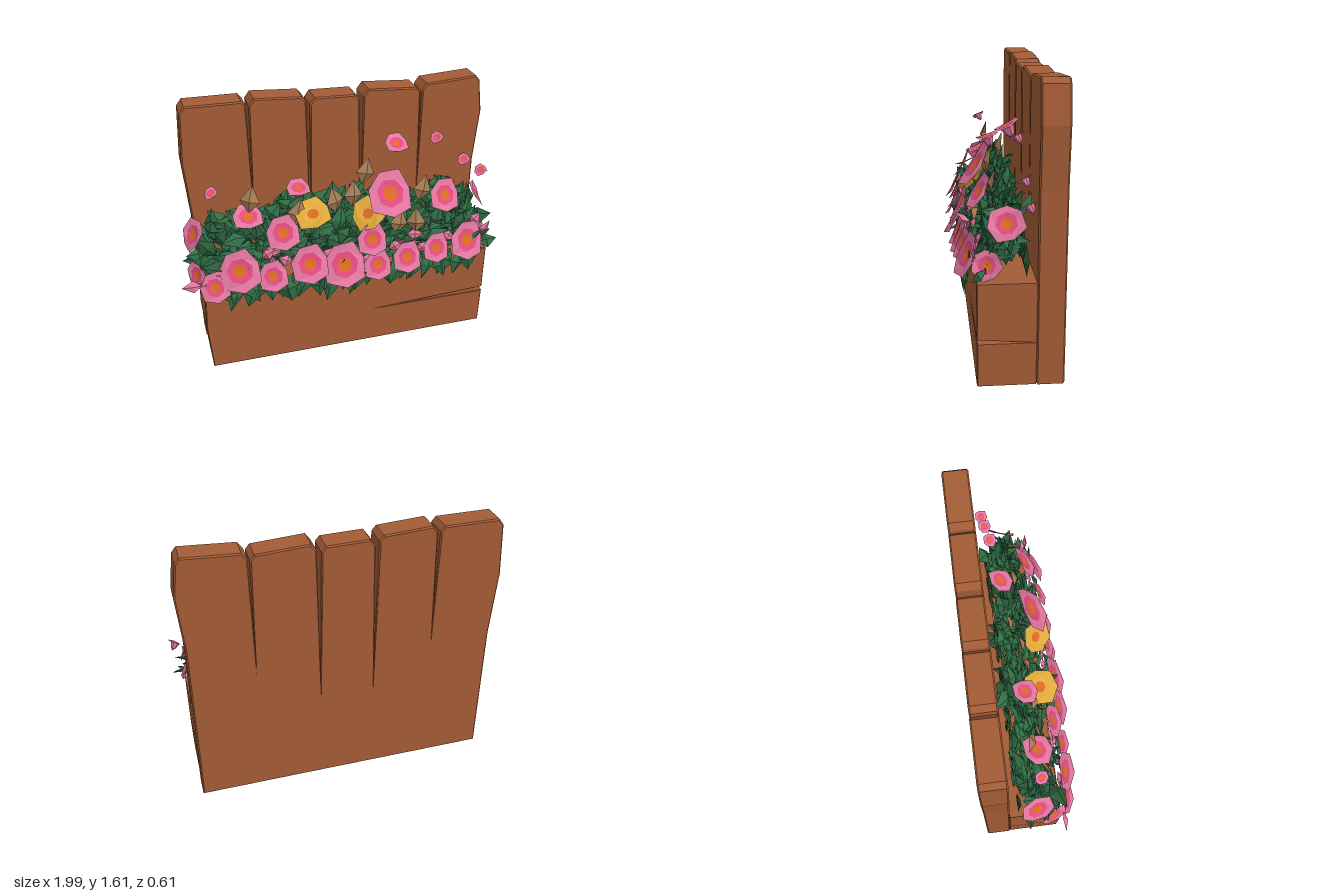
import * as THREE from 'three';
import { mergeGeometries } from 'three/addons/utils/BufferGeometryUtils.js';

const V = (x, y, z) => new THREE.Vector3(x, y, z);

const mat = (name, color, side = THREE.DoubleSide) => {
  const m = new THREE.MeshStandardMaterial({ color, side, flatShading: true });
  m.name = name;
  return m;
};

// Small seeded generator for the foliage scatter
function seeded(seed) {
  return () => {
    seed = (seed * 16807) % 2147483647;
    return seed / 2147483647;
  };
}

// Flat outline in x/y, extruded from z0 to z1 with small chamfers
function slab(points, z0, z1, bevel) {
  const shape = new THREE.Shape(points.map(([x, y]) => new THREE.Vector2(x, y)));
  const geo = new THREE.ExtrudeGeometry(shape, {
    depth: z1 - z0 - 2 * bevel, bevelEnabled: true, bevelSegments: 1,
    bevelSize: bevel, bevelThickness: bevel, bevelOffset: -bevel,
  });
  return geo.translate(0, 0, z0 + bevel);
}

// Outline of the fence: planks from right to left (left, right, top left, top right),
// with a tapering gap after each
function fenceOutline() {
  const planks = [[0.55, 0.92, 1.59, 1.608], [0.185, 0.54, 1.592, 1.572], [-0.14, 0.16, 1.575, 1.568],
    [-0.495, -0.16, 1.606, 1.588], [-0.885, -0.51, 1.6, 1.597]];
  const gapFoot = [0.83, 0.6, 0.57, 0.85];
  const points = [[-0.865, 0.01], [0.92, 0], [0.92, 1.05], [0.947, 1.38]];
  planks.forEach(([left, right, topLeft, topRight], i) => {
    points.push([right, topRight - 0.03], [right - 0.025, topRight], [left + 0.03, topLeft], [left, topLeft - 0.04]);
    if (i < 4) points.push([(left + planks[i + 1][1]) / 2, gapFoot[i]]);
  });
  points.push([-0.902, 1.25], [-0.872, 0.85]);
  return points;
}

// Folded pointed leaf growing along +y from the origin
function leaf(length, width, fold) {
  const b = [0, 0, 0], t = [0, length, -fold * 0.6], m = [0, length * 0.45, fold];
  const l = [-width / 2, length * 0.42, 0], r = [width / 2, length * 0.42, 0];
  const geo = new THREE.BufferGeometry();
  geo.setAttribute('position', new THREE.Float32BufferAttribute(
    [b, m, l, l, m, t, b, r, m, m, r, t].flat(), 3));
  geo.computeVertexNormals();
  return geo;
}

// Moves a geometry to pos with its y axis along dir and its z axis near normal
function orient(geo, pos, dir, normal) {
  const y = dir.clone().normalize();
  const x = new THREE.Vector3().crossVectors(y, normal).normalize();
  const z = new THREE.Vector3().crossVectors(x, y);
  return geo.applyMatrix4(new THREE.Matrix4().makeBasis(x, y, z).setPosition(pos));
}

// Seven-sided ring of a flower, with an uneven outer rim
function flowerRing(profile, uneven = 0) {
  const geo = new THREE.LatheGeometry(profile.map(([r, y]) => new THREE.Vector2(r, y)), 7);
  const p = geo.attributes.position;
  for (let i = 0; i < p.count; i++) {
    if (Math.hypot(p.getX(i), p.getZ(i)) < 0.9) continue;
    const side = Math.floor(i / profile.length) % 7;
    const k = 1 + uneven * Math.sin(side * 2.4);
    p.setXYZ(i, p.getX(i) * k, p.getY(i) + uneven * Math.cos(side * 1.7), p.getZ(i) * k);
  }
  geo.computeVertexNormals();
  return geo;
}

export function createModel() {
  const root = new THREE.Group();
  root.name = 'flowerPlanter';
  const wood = mat('brown wood', 0xa35c36, THREE.FrontSide);
  const green = mat('leaf green', 0x2f6e45);
  const darkGreen = mat('dark leaf green', 0x285a3a);
  const tan = mat('dry leaf tan', 0xa57c55);
  const pink = mat('petal pink', 0xe0769f);
  const hotPink = mat('inner petal pink', 0xe04a80);
  const orange = mat('flower centre orange', 0xdb6a22);
  const yellow = mat('petal yellow', 0xe0a83c);
  const add = (parent, name, geo, material) => {
    const mesh = new THREE.Mesh(geo, material);
    mesh.name = name;
    parent.add(mesh);
  };

  // Back fence of five planks
  add(root, 'backPlanks', slab(fenceOutline(), -0.287, -0.137, 0.008), wood);

  // Planter trough with a crack at the right end that closes towards the back
  const box = slab([
    [-0.86, 0.005], [0.915, 0], [0.92, 0.24], [0.17, 0.24], [0.92, 0.265], [0.92, 0.57],
    [-0.87, 0.575], [-0.88, 0.3],
  ], -0.14, 0.175, 0.005);
  const bp = box.attributes.position;
  for (let i = 0; i < bp.count; i++) {
    if (bp.getY(i) > 0.25 && bp.getY(i) < 0.29 && bp.getZ(i) < 0) bp.setY(i, 0.242);
  }
  box.computeVertexNormals();
  add(root, 'planterBox', box, wood);

  const rand = seeded(4711);
  const range = (a, b) => a + (b - a) * rand();
  const lists = { green: [], dark: [], tan: [], pink: [] };

  // Leafy mass, sloping from the front lip up to the fence, lower at the ends
  for (let i = 0; i < 270; i++) {
    const x = range(-0.84, 0.86), t = rand();
    const y = 0.58 + 0.36 * t * (1 - 0.45 * Math.pow(Math.abs(x), 4));
    const z = 0.18 - 0.19 * t - rand() * range(0, 0.26 - 0.17 * t);
    const dir = V(x * 0.4 + range(-0.9, 0.9), range(0, 0.9), range(-0.2, 0.35));
    const normal = V(range(-0.5, 0.5) + x * 0.4, range(0.2, 1.3), 1);
    const geo = leaf(range(0.12, 0.18), range(0.08, 0.12), 0.022);
    const list = rand() < 0.65 ? lists.green : lists.dark;
    list.push(orient(geo, V(x, y, Math.max(z, -0.07)), dir, normal));
  }
  // Leaves lying over the soil
  for (let i = 0; i < 110; i++) {
    const a = range(0, Math.PI * 2);
    const geo = leaf(range(0.13, 0.18), range(0.09, 0.12), 0.02);
    const pos = V(-0.83 + i * 0.0152, range(0.6, 0.75), range(-0.04, 0.12));
    lists.dark.push(orient(geo, pos, V(Math.cos(a), 0.2, Math.sin(a) * 0.4), V(range(-0.3, 0.3), 1, 0.3)));
  }
  // Dark leaves standing along the fence
  for (let i = 0; i < 60; i++) {
    const geo = leaf(range(0.14, 0.2), range(0.08, 0.11), 0.015);
    const pos = V(range(-0.83, 0.85), range(0.56, 0.82), range(-0.1, -0.07));
    lists.dark.push(orient(geo, pos, V(range(-0.5, 0.5), 1, 0.05), V(range(-0.3, 0.3), 0.2, 1)));
  }
  // Leaves hanging over the front lip
  for (let i = 0; i < 34; i++) {
    const geo = leaf(range(0.14, 0.19), range(0.09, 0.12), 0.022);
    const pos = V(-0.82 + i * 0.048, range(0.58, 0.65), range(0.18, 0.21));
    lists.green.push(orient(geo, pos, V(range(-0.7, 0.7), -1, 0.25), V(range(-0.4, 0.4), 0.3, 1)));
  }
  // Dry leaves, nearer the fence the higher they sit
  for (const [x, y] of [[-0.56, 0.98], [0.14, 1.05], [0.06, 0.94], [0.31, 0.76], [0.44, 0.75],
    [0.48, 0.92], [-0.04, 0.92], [-0.3, 0.88]]) {
    lists.tan.push(orient(leaf(0.17, 0.12, 0.025), V(x, y, 0.55 - 0.53 * y),
      V(range(-0.4, 0.4), 1, 0), V(range(-0.4, 0.4), 0.4, 1)));
  }
  // Loose petals among the blossoms
  for (let i = 0; i < 30; i++) {
    const x = -0.88 + i * 0.06, y = range(0.6, 0.76);
    lists.pink.push(orient(leaf(range(0.08, 0.12), 0.07, 0.015), V(x, y, 0.33 - 0.23 * y),
      V(range(-0.8, 0.8) + x, range(-0.4, 0.7), 0.1), V(range(-0.5, 0.5), 0.5, 1)));
  }
  add(root, 'leaves', mergeGeometries(lists.green), green);
  add(root, 'shadeLeaves', mergeGeometries(lists.dark), darkGreen);
  add(root, 'dryLeaves', mergeGeometries(lists.tan), tan);
  add(root, 'loosePetals', mergeGeometries(lists.pink), pink);

  // Blossom: petals, inner ring and centre, opening along dir
  const petals = flowerRing([[0.6, 0.04], [1, 0.05]], 0.1);
  const inner = flowerRing([[0.32, 0], [0.6, 0.04]]);
  const centre = flowerRing([[0, -0.03], [0.32, 0]]);
  const cup = flowerRing([[0, -1.1], [0.35, -0.7], [0.6, 0.04]]);
  const blossom = (name, pos, radius, dir, outer = pink, middle = hotPink) => {
    const g = new THREE.Group();
    g.name = name;
    add(g, 'petals', petals, outer);
    add(g, 'innerRing', inner, middle);
    add(g, 'centre', centre, orange);
    if (radius < 0.08) add(g, 'calyx', cup, outer);
    g.position.copy(pos);
    g.scale.setScalar(radius);
    g.quaternion.setFromUnitVectors(V(0, 1, 0), dir.normalize());
    root.add(g);
  };

  // Forward-facing blossoms, tilted up: x, y, radius
  for (const [x, y, r] of [[-0.81, 0.62, 0.095], [-0.66, 0.71, 0.13], [-0.47, 0.65, 0.095],
    [-0.25, 0.7, 0.12], [-0.04, 0.66, 0.14], [0.17, 0.62, 0.095], [0.36, 0.64, 0.1],
    [0.55, 0.67, 0.095], [0.76, 0.68, 0.125], [0.14, 0.79, 0.1], [-0.39, 0.9, 0.105],
    [0.27, 1.04, 0.145], [0.62, 0.98, 0.105]]) {
    const z = 0.245 - 0.05 * x * x - 0.3 * Math.max(0, y - 0.7);
    blossom('frontBlossom', V(x, y, z), r, V(x * 0.3, 0.42 + Math.max(0, y - 0.8), 1));
  }
  // Upward-facing blossoms
  blossom('upperBlossom', V(-0.57, 0.97, 0.06), 0.095, V(0, 1, 0.45));
  blossom('upperBlossom', V(-0.26, 1.1, 0.03), 0.075, V(0, 1, 0.3));
  blossom('upperBlossom', V(0.36, 1.28, -0.03), 0.075, V(0, 1, 0.5));
  blossom('yellowBlossom', V(-0.2, 0.97, 0.13), 0.11, V(-0.25, 1, 0.5), yellow, yellow);
  blossom('yellowBlossom', V(0.13, 0.93, 0.15), 0.105, V(-0.6, 0.7, 0.7), yellow, yellow);
  // Blossoms at both ends
  for (const s of [-1, 1]) {
    blossom('endBlossom', V(s * 0.89, 0.88, 0.02), 0.1, V(s, 0.6, 0.35));
    blossom('endBlossom', V(s * 0.9, 0.665, 0.12), 0.085, V(s, 0.35, 0.5));
  }
  // Small buds
  for (const [x, y] of [[-0.77, 1.15], [0.63, 1.27], [0.83, 1.09], [0.96, 0.99]]) {
    blossom('bud', V(x, y, -0.08 * x - 0.01), 0.042, V(-0.5, 0.8, 0.4));
  }

  return root;
}
